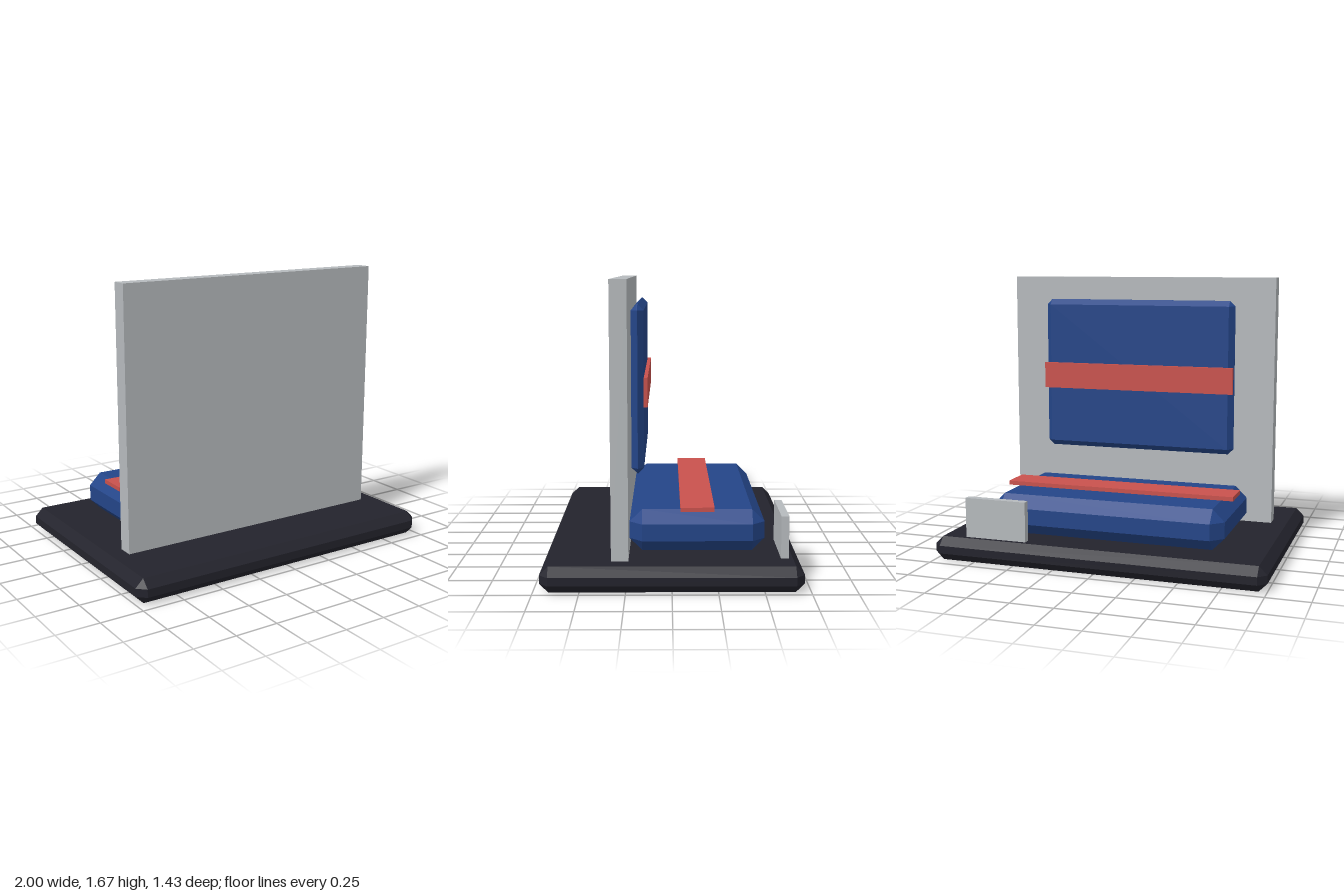
import * as THREE from 'three';
import { ConvexGeometry } from 'three/addons/geometries/ConvexGeometry.js';

function material(name, color) {
  const m = new THREE.MeshStandardMaterial({ color });
  m.name = name;
  return m;
}

// Box with every edge cut at 45 degrees
function chamferedBox(w, h, d, c) {
  const points = [];
  for (const x of [-w / 2, w / 2])
    for (const y of [-h / 2, h / 2])
      for (const z of [-d / 2, d / 2]) {
        const ix = x - Math.sign(x) * c;
        const iy = y - Math.sign(y) * c;
        const iz = z - Math.sign(z) * c;
        points.push(
          new THREE.Vector3(x, iy, iz),
          new THREE.Vector3(ix, y, iz),
          new THREE.Vector3(ix, iy, z)
        );
      }
  return new ConvexGeometry(points);
}

export function createModel() {
  const model = new THREE.Group();
  model.name = 'benchSeat';

  const black = material('black base', 0x23232c);
  const grey = material('light grey panel', 0xb6babd);
  const blue = material('blue upholstery', 0x244588);
  const red = material('red stripe', 0xc9524d);

  // Adds a box spanning the given ranges, chamfered when c > 0
  function addPart(name, mat, [x0, x1], [y0, y1], [z0, z1], c = 0) {
    const size = [x1 - x0, y1 - y0, z1 - z0];
    const geometry = c ? chamferedBox(...size, c) : new THREE.BoxGeometry(...size);
    const mesh = new THREE.Mesh(geometry, mat);
    mesh.name = name;
    mesh.position.set((x0 + x1) / 2, (y0 + y1) / 2, (z0 + z1) / 2);
    model.add(mesh);
  }

  // Floor slab and upright panel
  addPart('base', black, [-1, 1], [0, 0.143], [-0.714, 0.714], 0.048);
  addPart('backPanel', grey, [-0.857, 0.857], [0.143, 1.667], [0.238, 0.333]);

  // Upholstery
  addPart('seatCushion', blue, [-0.714, 0.714], [0.143, 0.381], [-0.524, 0.238], 0.071);
  addPart('backCushion', blue, [-0.619, 0.619], [0.573, 1.526], [0.156, 0.227], 0.034);

  // Stripes across the cushions
  addPart('seatStripe', red, [-0.714, 0.714], [0.381, 0.406], [-0.238, -0.048]);
  addPart('backStripe', red, [-0.619, 0.619], [0.956, 1.119], [0.134, 0.156]);

  // Small upright plate at one corner
  addPart('cornerPlate', grey, [0.429, 0.81], [0.143, 0.381], [-0.643, -0.6]);

  return model;
}
